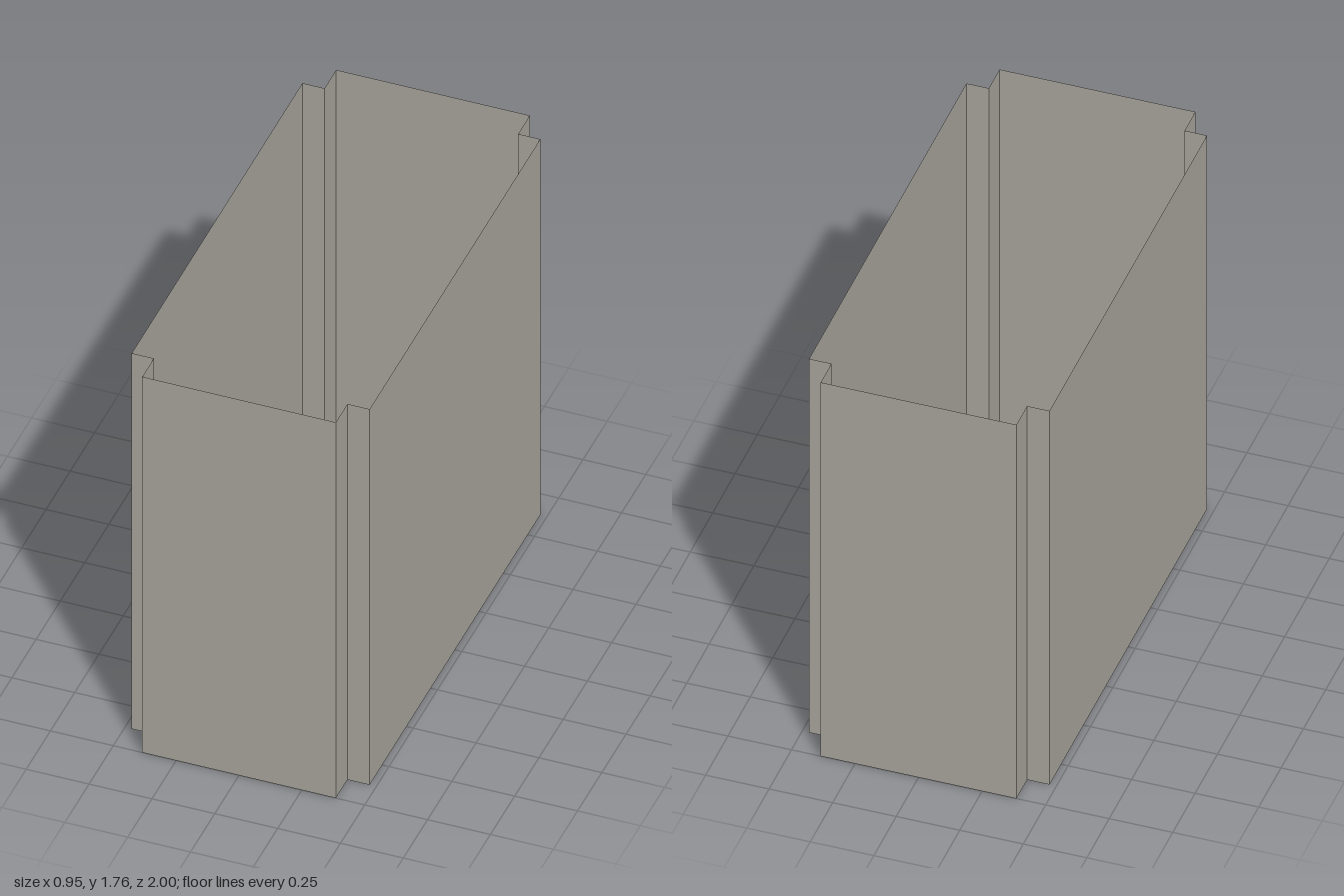
import * as THREE from 'three';

// Open sleeve: four thin walls joined by square inward notches at the corners.
const HEIGHT = 1.76;
const X_OUT = 0.473, X_IN = 0.385; // half width, and half width between notches
const Z_OUT = 1.0, Z_IN = 0.88;    // half depth, and half depth between notches

export function createModel() {
  const group = new THREE.Group();
  group.name = 'openSleeve';
  const wallMaterial = new THREE.MeshStandardMaterial({ color: 0xa5a299, side: THREE.DoubleSide });
  wallMaterial.name = 'warm grey';

  // Upright sheet whose outer side faces the angle turned about y
  function addSheet(name, width, x, z, angle, parent = group) {
    const sheet = new THREE.Mesh(new THREE.PlaneGeometry(width, HEIGHT), wallMaterial);
    sheet.name = name;
    sheet.position.set(x, HEIGHT / 2, z);
    sheet.rotation.y = angle;
    parent.add(sheet);
  }

  // Main walls
  addSheet('frontWall', 2 * X_IN, 0, Z_OUT, 0);
  addSheet('backWall', 2 * X_IN, 0, -Z_OUT, Math.PI);
  addSheet('leftWall', 2 * Z_IN, X_OUT, 0, Math.PI / 2);
  addSheet('rightWall', 2 * Z_IN, -X_OUT, 0, -Math.PI / 2);

  // Corner notches, two narrow sheets each
  for (const sx of [1, -1]) {
    for (const sz of [1, -1]) {
      const notch = new THREE.Group();
      notch.name = (sz > 0 ? 'front' : 'back') + (sx > 0 ? 'Left' : 'Right') + 'Notch';
      addSheet('notchSide', Z_OUT - Z_IN, sx * X_IN, sz * (Z_OUT + Z_IN) / 2, sx * Math.PI / 2, notch);
      addSheet('notchFace', X_OUT - X_IN, sx * (X_OUT + X_IN) / 2, sz * Z_IN, sz > 0 ? 0 : Math.PI, notch);
      group.add(notch);
    }
  }
  return group;
}
